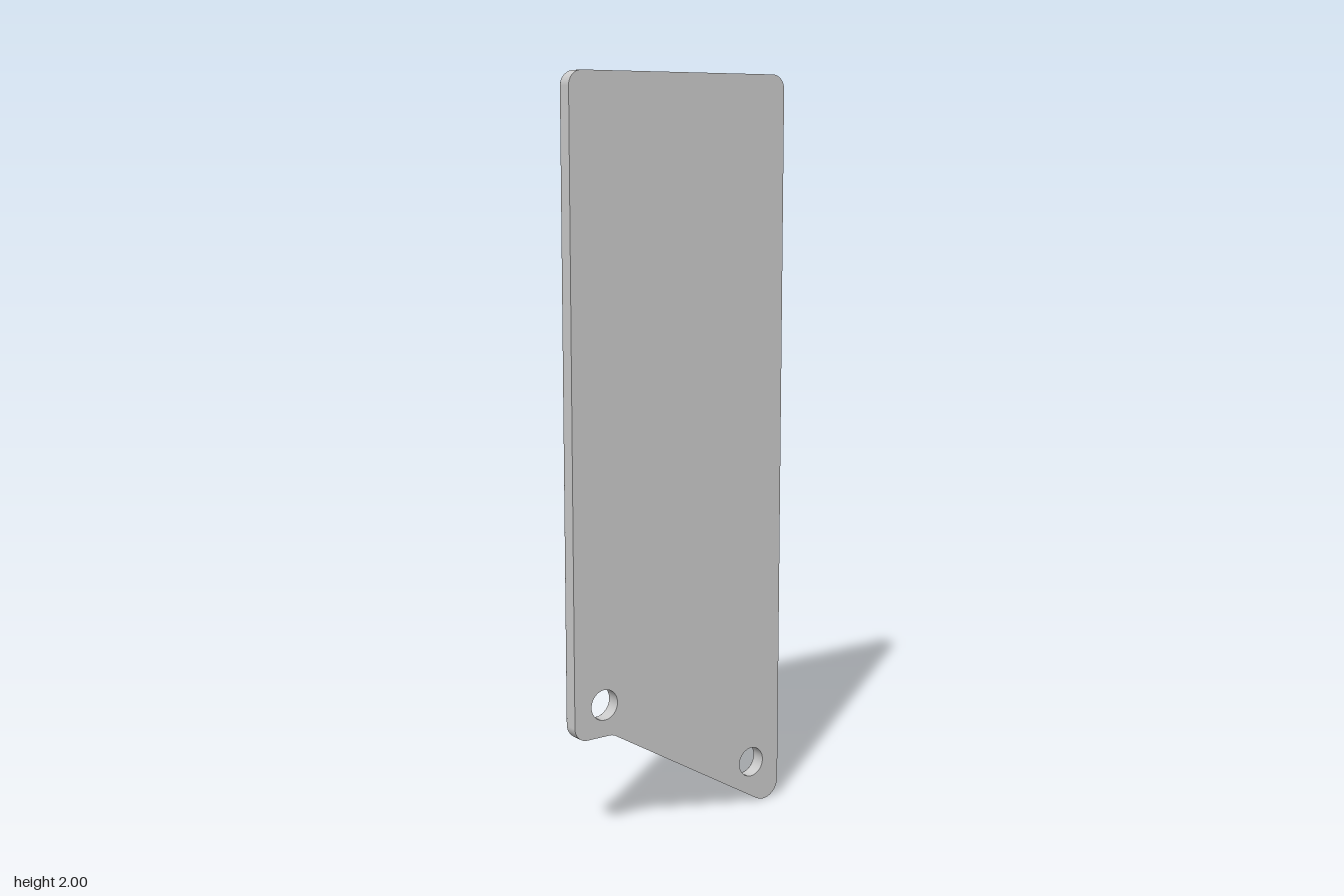
import * as THREE from 'three';
import { mergeGeometries } from 'three/addons/utils/BufferGeometryUtils.js';

const FRONT = 0.026, BACK = -0.027, FILLET = 0.02;

// A contour is a list of { p, n }: a point and its outward normal.
// Corners are [x, y, radius], counter-clockwise; concave corners work too.
function roundedContour(corners, steps = 10) {
  const out = [];
  const at = (i) => new THREE.Vector2(...corners[(i + corners.length) % corners.length]);
  corners.forEach(([, , r], i) => {
    const v = at(i);
    const a = v.clone().sub(at(i - 1)).normalize();
    const b = at(i + 1).sub(v).normalize();
    const turn = Math.atan2(a.cross(b), a.dot(b));
    const s = Math.sign(turn);
    const n0 = new THREE.Vector2(a.y, -a.x);
    const centre = v.addScaledVector(a, -r * Math.tan(Math.abs(turn) / 2)).addScaledVector(n0, -r * s);
    for (let k = 0; k <= steps; k++) {
      const n = n0.clone().rotateAround(new THREE.Vector2(), turn * k / steps);
      out.push({ p: centre.clone().addScaledVector(n, r * s), n });
    }
  });
  return out;
}

// Clockwise circle whose normals point into the hole
function holeContour(x, y, r, steps = 40) {
  return Array.from({ length: steps }, (_, i) => {
    const t = -2 * Math.PI * i / steps;
    const n = new THREE.Vector2(-Math.cos(t), -Math.sin(t));
    return { p: new THREE.Vector2(x, y).addScaledVector(n, -r), n };
  });
}

const inset = (contour, d) => contour.map(({ p, n }) => p.clone().addScaledVector(n, -d));

// Straight wall from the front face, then a quarter-round onto the back face
function wall(contour, arcSteps = 8) {
  const sections = [{ d: 0, z: FRONT, t: 0 }];
  for (let k = 0; k <= arcSteps; k++) {
    const t = Math.PI / 2 * k / arcSteps;
    sections.push({ d: FILLET * (1 - Math.cos(t)), z: BACK + FILLET * (1 - Math.sin(t)), t });
  }
  const pos = [], nor = [], idx = [], m = contour.length;
  sections.forEach(({ d, z, t }, j) => {
    inset(contour, d).forEach((q, i) => {
      const { n } = contour[i];
      pos.push(q.x, q.y, z);
      nor.push(n.x * Math.cos(t), n.y * Math.cos(t), -Math.sin(t));
      if (j === sections.length - 1) return;
      const a = j * m + i, b = j * m + (i + 1) % m;
      idx.push(a, a + m, b + m, a, b + m, b);
    });
  });
  const g = new THREE.BufferGeometry();
  g.setAttribute('position', new THREE.Float32BufferAttribute(pos, 3));
  g.setAttribute('normal', new THREE.Float32BufferAttribute(nor, 3));
  g.setIndex(idx);
  return g;
}

// Flat face with holes, optionally facing backwards
function face(outline, holes, d, z, flip) {
  const shape = new THREE.Shape(inset(outline, d));
  shape.holes = holes.map((h) => new THREE.Path(inset(h, d)));
  const g = new THREE.ShapeGeometry(shape).translate(0, 0, z);
  g.deleteAttribute('uv');
  if (flip) {
    g.setIndex(Array.from(g.index.array).reverse());
    const n = g.attributes.normal;
    for (let i = 0; i < n.count; i++) n.setZ(i, -1);
  }
  return g;
}

export function createModel() {
  const group = new THREE.Group();
  group.name = 'mountingPlate';
  const material = new THREE.MeshStandardMaterial({ color: 0xcccccc });

  const outline = roundedContour([
    [-0.341, 2, 0.038],
    [-0.341, 0.29, 0.038],
    [-0.222, 0.29, 0.04],
    [0.339, -0.036, 0.05],
    [0.339, 2, 0.038],
  ]);
  const holes = [holeContour(-0.248, 0.376, 0.041), holeContour(0.244, 0.118, 0.041)];

  const add = (name, geometry) => {
    const mesh = new THREE.Mesh(geometry, material);
    mesh.name = name;
    group.add(mesh);
  };

  // Plate: flat front, inset back and rounded rim
  add('plate', mergeGeometries([
    face(outline, holes, 0, FRONT, false),
    face(outline, holes, FILLET, BACK, true),
    wall(outline),
  ]));

  // Screw holes, flared towards the back
  holes.forEach((h, i) => add(i ? 'lowerScrewHole' : 'upperScrewHole', wall(h)));

  return group;
}
